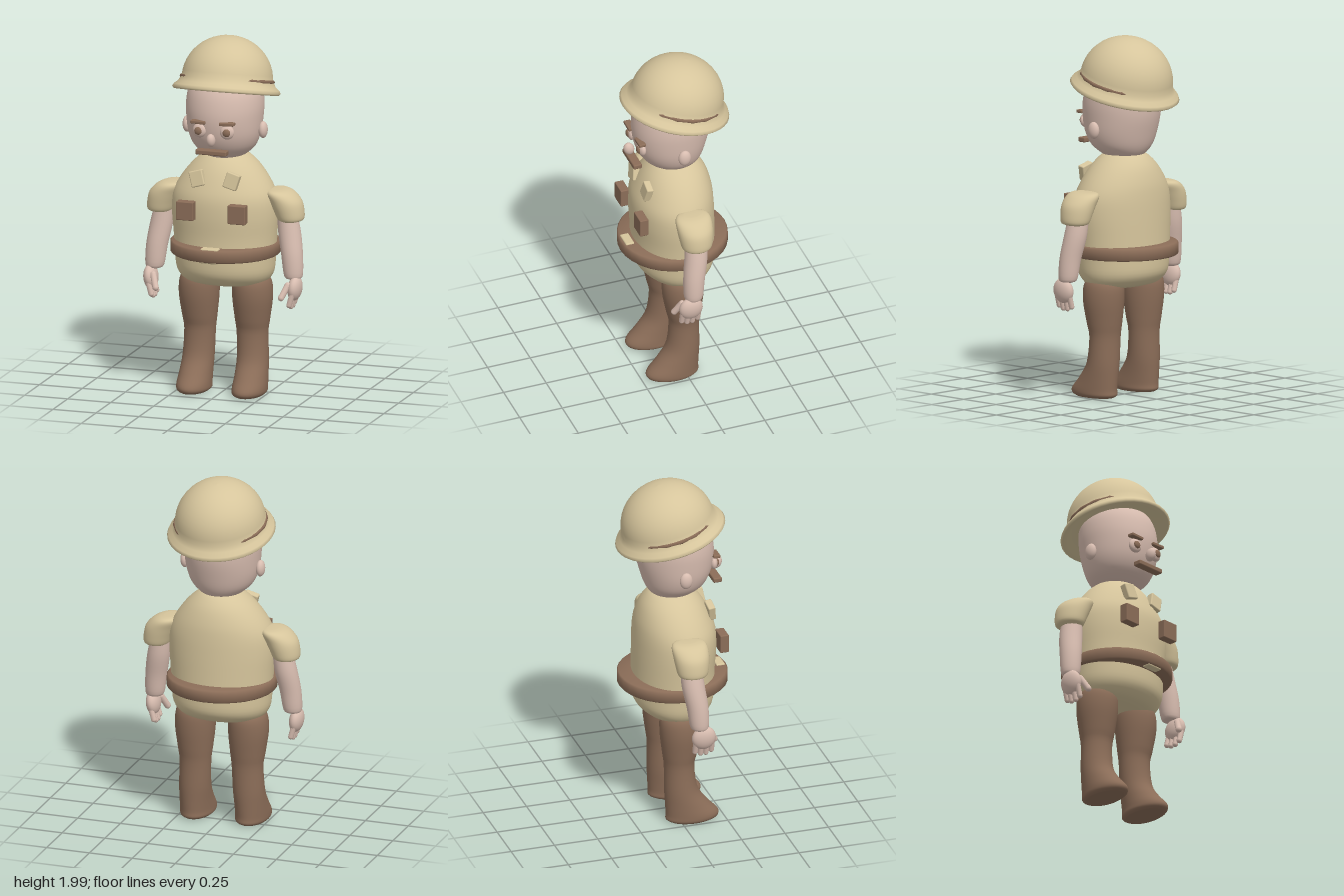
import * as THREE from 'three';
import { toCreasedNormals } from 'three/addons/utils/BufferGeometryUtils.js';
import { RoundedBoxGeometry } from 'three/addons/geometries/RoundedBoxGeometry.js';

const mat = (name, color) => {
  const m = new THREE.MeshStandardMaterial({ color });
  m.name = name;
  return m;
};

// Smooth closed body through elliptical sections [y, centreX, centreZ, radiusX, radiusZ]
function loft(rows, seg = 32, steps = 4) {
  const centres = new THREE.CatmullRomCurve3(rows.map(r => new THREE.Vector3(r[1], r[0], r[2])), false, 'catmullrom');
  const radii = new THREE.CatmullRomCurve3(rows.map(r => new THREE.Vector3(r[3], 0, r[4])), false, 'catmullrom');
  const n = (rows.length - 1) * steps;
  const pos = [], idx = [];
  for (let i = 0; i <= n; i++) {
    const c = centres.getPoint(i / n), r = radii.getPoint(i / n);
    for (let j = 0; j < seg; j++) {
      const a = (j / seg) * Math.PI * 2;
      pos.push(c.x + r.x * Math.sin(a), c.y, c.z + r.z * Math.cos(a));
    }
  }
  const first = rows[0], last = rows[rows.length - 1];
  const bottom = pos.length / 3, top = bottom + 1;
  pos.push(first[1], first[0], first[2], last[1], last[0], last[2]);
  for (let j = 0; j < seg; j++) {
    const k = (j + 1) % seg;
    for (let i = 0; i < n; i++) {
      const a = i * seg + j, b = i * seg + k;
      idx.push(a, b, a + seg, b, b + seg, a + seg);
    }
    idx.push(bottom, k, j, top, n * seg + j, n * seg + k);
  }
  const g = new THREE.BufferGeometry();
  g.setAttribute('position', new THREE.Float32BufferAttribute(pos, 3));
  g.setIndex(idx);
  g.computeVertexNormals();
  return g;
}

const lathe = (pts, seg) => new THREE.LatheGeometry(pts.map(p => new THREE.Vector2(...p)), seg);

export function createModel() {
  const model = new THREE.Group();
  model.name = 'explorer';
  const khaki = mat('khaki', 0xd6c59c);
  const skin = mat('skin', 0xd8bdb0);
  const brown = mat('brown', 0x8b6d58);

  const add = (name, geometry, material, p = [0, 0, 0], r = [0, 0, 0], parent = model) => {
    const m = new THREE.Mesh(geometry, material);
    m.name = name;
    m.position.set(...p);
    m.rotation.set(...r);
    parent.add(m);
    return m;
  };
  const ball = (name, material, p, size, r, parent) => {
    const m = add(name, new THREE.SphereGeometry(1, 24, 16), material, p, r, parent);
    m.scale.set(...size);
    return m;
  };
  const box = (name, material, size, p, r, bevel = 0.007) =>
    add(name, new RoundedBoxGeometry(...size, 2, bevel), material, p, r);
  const limb = (name, material, a, b, radius) => {
    const A = new THREE.Vector3(...a), B = new THREE.Vector3(...b), d = B.clone().sub(A);
    const m = add(name, new THREE.CapsuleGeometry(radius, d.length(), 4, 10), material, A.add(B).multiplyScalar(0.5).toArray());
    m.quaternion.setFromUnitVectors(new THREE.Vector3(0, 1, 0), d.normalize());
  };

  // Torso
  add('torso', loft([
    [0.615, 0, 0.01, 0.17, 0.11], [0.635, 0, 0.01, 0.235, 0.165], [0.69, 0, 0.01, 0.273, 0.213],
    [0.78, 0, 0.012, 0.284, 0.224], [0.9, 0, 0.013, 0.292, 0.224], [1.02, 0, 0.018, 0.3, 0.227],
    [1.12, 0, 0.018, 0.292, 0.223], [1.2, 0, 0.01, 0.255, 0.205], [1.28, 0, 0.003, 0.195, 0.172],
    [1.335, 0, 0, 0.135, 0.13], [1.36, 0, 0, 0.09, 0.09],
  ], 40), khaki);

  // Belt and buckle
  add('belt', toCreasedNormals(lathe([
    [0.2, 0.788], [0.297, 0.788], [0.305, 0.796], [0.305, 0.849], [0.297, 0.857], [0.2, 0.857], [0.2, 0.788],
  ], 32), 0.9), brown, [0, 0, 0.01]);
  box('buckle', khaki, [0.1, 0.085, 0.05], [0, 0.8225, 0.275]);

  // Head
  add('head', loft([
    [1.335, 0, 0.01, 0.09, 0.1], [1.355, 0, 0.01, 0.125, 0.13], [1.4, 0, 0.02, 0.172, 0.168],
    [1.47, 0, 0.026, 0.2, 0.197], [1.56, 0, 0.023, 0.212, 0.216], [1.64, 0, 0.018, 0.215, 0.217],
    [1.72, 0, 0.01, 0.203, 0.203], [1.79, 0, 0, 0.165, 0.165], [1.84, 0, 0, 0.09, 0.09],
  ], 40), skin);
  ball('nose', skin, [0, 1.473, 0.265], [0.025, 0.038, 0.03], [0.3, 0, 0]);
  box('moustache', brown, [0.18, 0.028, 0.05], [0, 1.402, 0.245]);

  // Tilted helmet with a band showing at the sides
  const helmet = new THREE.Group();
  helmet.name = 'helmet';
  helmet.position.set(0, 1.69, 0);
  helmet.rotation.x = -0.24;
  model.add(helmet);
  const profile = [[0, 0.03], [0.2, 0.025], [0.27, 0.005], [0.302, -0.004], [0.312, 0.006], [0.304, 0.022], [0.28, 0.042], [0.264, 0.068]];
  for (let i = 1; i <= 12; i++) {
    const a = (i / 12) * Math.PI / 2;
    profile.push([i === 12 ? 0 : 0.262 * Math.cos(a), 0.068 + 0.242 * Math.sin(a)]);
  }
  const shell = add('helmetShell', lathe(profile, 40), khaki, [0, 0, 0], [0, 0, 0], helmet);
  shell.scale.x = 0.955;
  const band = add('helmetBand', new THREE.TorusGeometry(0.25, 0.012, 6, 18), brown, [0, 0.068, 0], [Math.PI / 2, 0, 0], helmet);
  band.scale.set(1.005, 0.985, 1);

  for (const s of [1, -1]) {
    const side = s > 0 ? 'left' : 'right';

    // Face
    ball(side + 'Ear', skin, [s * 0.22, 1.495, 0.02], [0.025, 0.047, 0.036]);
    ball(side + 'Eye', skin, [s * 0.08, 1.515, 0.222], [0.04, 0.04, 0.022], [0, s * 0.15, 0]);
    ball(side + 'Pupil', brown, [s * 0.082, 1.515, 0.24], [0.022, 0.022, 0.012]);
    box(side + 'Eyebrow', brown, [0.085, 0.018, 0.04], [s * 0.083, 1.564, 0.23], [0, 0, s * 0.03], 0.005);

    // Shirt details
    box(side + 'CollarFlap', khaki, [0.078, 0.09, 0.04], [s * 0.1, 1.235, 0.197], [-0.15, 0, -s * 0.28]);
    box(side + 'Pocket', brown, [0.1, 0.105, 0.05], [s * 0.15, 1.062, 0.249], [0, 0, 0], 0.005);

    // Sleeve and arm
    add(side + 'Sleeve', loft([
      [0.99, s * 0.375, 0.008, 0.05, 0.06], [1.003, s * 0.377, 0.008, 0.073, 0.083],
      [1.05, s * 0.366, 0.008, 0.084, 0.094], [1.1, s * 0.347, 0.008, 0.09, 0.1],
      [1.14, s * 0.32, 0.007, 0.082, 0.1], [1.16, s * 0.305, 0.006, 0.06, 0.085], [1.167, s * 0.3, 0.005, 0.03, 0.05],
    ]), khaki);
    add(side + 'Arm', loft([
      [0.67, s * 0.403, 0.04, 0.03, 0.03], [0.69, s * 0.402, 0.038, 0.052, 0.052],
      [0.8, s * 0.392, 0.03, 0.06, 0.06], [0.92, s * 0.372, 0.012, 0.063, 0.064], [1.03, s * 0.355, 0.004, 0.055, 0.06],
    ], 24), skin);

    // Hand
    ball(side + 'Palm', skin, [s * 0.418, 0.622, 0.058], [0.038, 0.07, 0.068], [0, 0, -s * 0.1]);
    for (let i = 0; i < 4; i++) {
      const z = 0.013 + i * 0.031, low = i === 0 || i === 3 ? 0.535 : 0.522;
      limb(side + 'Finger', skin, [s * 0.418, 0.6, z], [s * 0.4, low, z], 0.0155);
    }
    limb(side + 'Thumb', skin, [s * 0.39, 0.645, 0.1], [s * 0.364, 0.58, 0.136], 0.018);

    // Trouser leg and boot
    add(side + 'Leg', loft([
      [0.005, s * 0.16, 0.07, 0.075, 0.125], [0.02, s * 0.16, 0.071, 0.091, 0.149],
      [0.05, s * 0.161, 0.07, 0.093, 0.147], [0.11, s * 0.16, 0.041, 0.09, 0.121],
      [0.2, s * 0.157, 0.009, 0.088, 0.093], [0.34, s * 0.152, 0, 0.088, 0.084],
      [0.42, s * 0.153, 0.003, 0.098, 0.097], [0.54, s * 0.155, 0.007, 0.112, 0.115],
      [0.63, s * 0.153, 0.007, 0.108, 0.113], [0.68, s * 0.15, 0.007, 0.08, 0.08],
    ]), brown);
  }
  return model;
}
